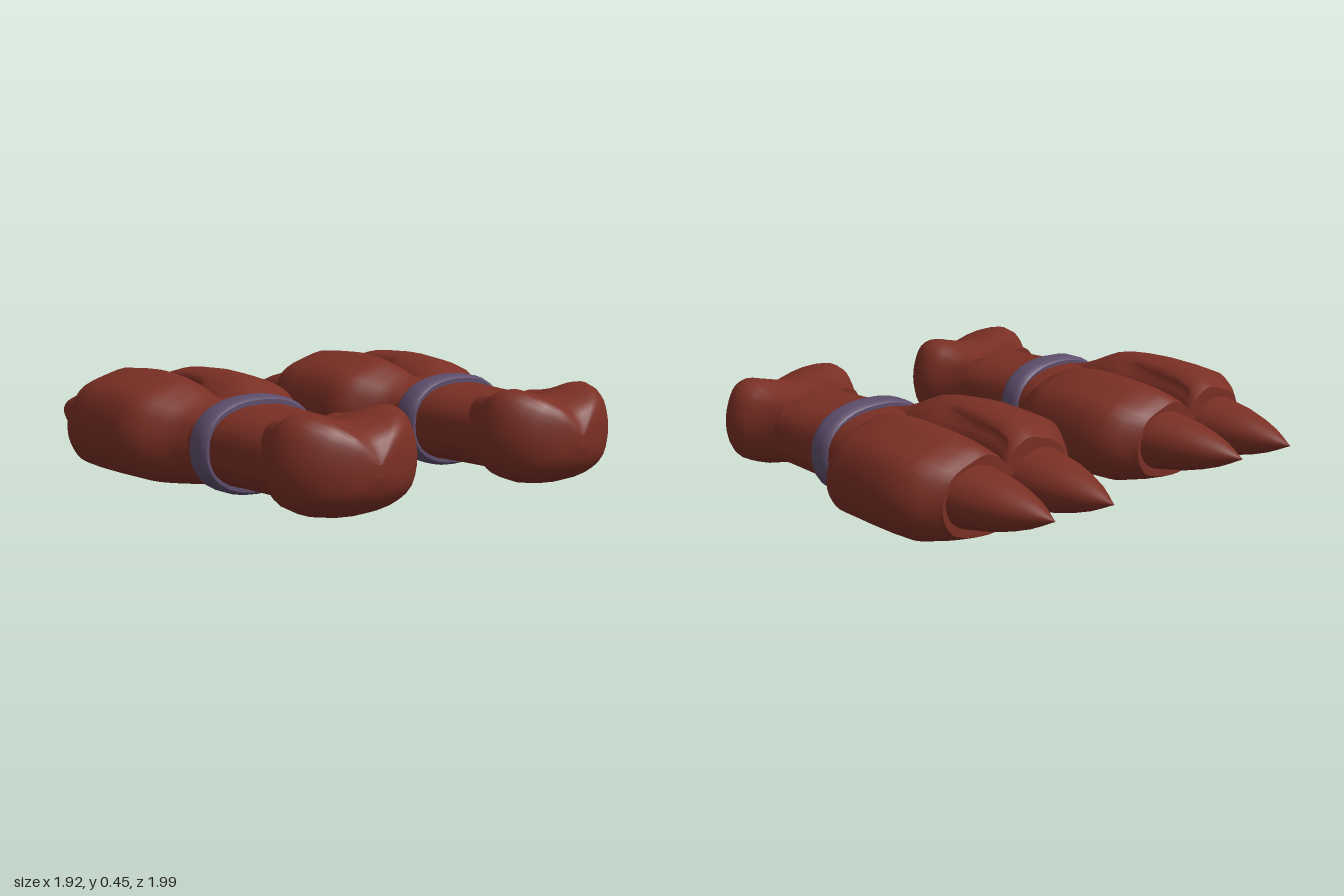
import * as THREE from 'three';

const RED = new THREE.MeshStandardMaterial({ color: 0x7a2f24 });
RED.name = 'brick red';
const PURPLE = new THREE.MeshStandardMaterial({ color: 0x5d4d6b });
PURPLE.name = 'dusky purple';

// Closed skin through rings of [x, y] points, each at its own z (z rising, points counter-clockwise from +z)
function loft(name, rings, material) {
  const n = rings[0].pts.length, pos = [], idx = [];
  rings.forEach(r => r.pts.forEach(p => pos.push(p[0], p[1], r.z)));
  for (let i = 0; i < rings.length - 1; i++) {
    for (let j = 0; j < n; j++) {
      const k = (j + 1) % n, a = i * n + j, b = i * n + k;
      idx.push(a, b, b + n, a, b + n, a + n);
    }
  }
  // flat end caps with their own vertices
  [rings[0], rings[rings.length - 1]].forEach((r, end) => {
    const c = pos.length / 3;
    const mid = [0, 1].map(q => r.pts.reduce((s, p) => s + p[q], 0) / n);
    pos.push(mid[0], mid[1], r.z);
    r.pts.forEach(p => pos.push(p[0], p[1], r.z));
    for (let j = 0; j < n; j++) {
      const a = c + 1 + j, b = c + 1 + (j + 1) % n;
      if (end) idx.push(c, a, b); else idx.push(c, b, a);
    }
  });
  const g = new THREE.BufferGeometry();
  g.setAttribute('position', new THREE.Float32BufferAttribute(pos, 3));
  g.setIndex(idx);
  g.computeVertexNormals();
  const mesh = new THREE.Mesh(g, material);
  mesh.name = name;
  return mesh;
}

// Rounded cross-section; power 2 is an ellipse, higher is boxier
function oval(z, cx, cy, rx, ry, power = 2) {
  const pts = [];
  for (let i = 0; i < 32; i++) {
    const t = i / 32 * Math.PI * 2, c = Math.cos(t), s = Math.sin(t);
    const f = v => Math.sign(v) * Math.abs(v) ** (2 / power);
    pts.push([cx + rx * f(c), cy + ry * f(s)]);
  }
  return { z, pts };
}

// Smooth closed outline through a few points
function outline(points) {
  const curve = new THREE.CatmullRomCurve3(points.map(p => new THREE.Vector3(p[0], p[1], 0)), true);
  return curve.getPoints(40).slice(0, 40).map(p => [p.x, p.y]);
}

// Bean-shaped knob outline, y from 0 to 1, half-width 1
const halfBean = [[0.6, 0.07], [0.9, 0.22], [1, 0.48], [0.97, 0.7], [0.84, 0.92], [0.62, 1], [0.36, 0.96]];
const bean = outline([[0, 0], ...halfBean, [0, 0.9], ...halfBean.map(p => [-p[0], p[1]]).reverse()]);

function knob() {
  // z, half-width, bottom, top
  const rows = [
    [0.56, 0.22, 0.05, 0.35], [0.61, 0.235, 0.04, 0.355], [0.66, 0.262, 0.035, 0.365],
    [0.7, 0.295, 0.025, 0.38], [0.74, 0.315, 0.015, 0.397], [0.79, 0.32, 0.01, 0.405],
    [0.84, 0.3, 0.018, 0.395], [0.89, 0.262, 0.035, 0.378], [0.93, 0.21, 0.06, 0.355],
    [0.96, 0.15, 0.09, 0.325], [0.98, 0.09, 0.125, 0.285], [0.99, 0.02, 0.18, 0.23],
  ];
  return loft('knob', rows.map(([z, w, lo, hi]) =>
    ({ z, pts: bean.map(p => [p[0] * w, lo + p[1] * (hi - lo)]) })), RED);
}

// Finger lobe outline on the -x side at its widest, y from 0 to 1
const lobeOutline = outline([
  [-0.44, 0.45], [-0.415, 0.25], [-0.36, 0.11], [-0.25, 0.03], [-0.12, 0], [-0.02, 0.04],
  [0.01, 0.2], [0.01, 0.45], [0.008, 0.75], [-0.06, 0.92], [-0.15, 1], [-0.25, 0.95], [-0.36, 0.85], [-0.42, 0.66],
]);

function lobe(name, side, lift) {
  // z, width factor, bottom, top, recess of the inner edge
  const rows = [
    [-0.6, 0.73, 0.06, 0.395, 0], [-0.575, 0.77, 0.05, 0.41, 0], [-0.54, 0.87, 0.04, 0.425, 0.02],
    [-0.47, 0.99, 0.025, 0.445, 0.035], [-0.36, 1, 0.02, 0.455, 0.04], [-0.24, 1, 0.02, 0.46, 0.035],
    [-0.18, 0.99, 0.02, 0.458, 0], [-0.1, 0.985, 0.022, 0.45, 0], [-0.04, 0.965, 0.022, 0.437, 0],
    [0.01, 0.87, 0.025, 0.415, 0], [0.06, 0.74, 0.028, 0.39, 0], [0.11, 0.63, 0.032, 0.37, 0],
    [0.18, 0.57, 0.04, 0.355, 0],
  ];
  const rings = rows.map(([z, w, lo, hi, recess]) => {
    const pts = lobeOutline.map(([x, y]) => {
      const inner = x > -0.05 && y > 0.4 ? recess : 0;
      return [-side * ((x < 0 ? x * w : x) - inner), lo + y * (hi - lo - lift)];
    });
    return { z, pts: side > 0 ? pts.reverse() : pts };
  });
  return loft(name, rings, RED);
}

function claw(name, tipX, tipZ, left, right) {
  const rings = [];
  // share of length from the tip, share of base size
  [[0, 0.01], [0.05, 0.09], [0.13, 0.23], [0.25, 0.42], [0.42, 0.62], [0.62, 0.8], [0.85, 0.92], [1, 1]]
    .forEach(([t, s]) => {
      const cx = THREE.MathUtils.lerp(tipX, (left + right) / 2, t);
      rings.push(oval(THREE.MathUtils.lerp(tipZ, -0.57, t), cx, 0.222, s * (right - left) / 2, s * 0.125));
    });
  return loft(name, rings, RED);
}

function makeClawedLimb(name) {
  const limb = new THREE.Group();
  limb.name = name;
  limb.add(knob());
  // shaft running into the palm
  limb.add(loft('shaft', [
    oval(-0.08, 0, 0.2, 0.24, 0.15, 2.4), oval(0.05, 0, 0.2, 0.265, 0.165, 2.4),
    oval(0.17, 0, 0.2, 0.258, 0.165, 2.4), oval(0.3, 0, 0.2, 0.243, 0.162, 2.4),
    oval(0.45, 0, 0.197, 0.238, 0.156, 2.4), oval(0.62, 0, 0.195, 0.23, 0.153, 2.4),
  ], RED));
  // wrist band
  limb.add(loft('wristBand', [[0.172, 0.93], [0.18, 0.97], [0.2, 1], [0.25, 1], [0.27, 0.97], [0.28, 0.93]]
    .map(([z, s]) => oval(z, 0, 0.2, 0.277 * s, 0.195 * s, 2.3)), PURPLE));
  // two finger lobes, each ending in a claw
  limb.add(lobe('rightFinger', -1, 0), lobe('leftFinger', 1, 0.02));
  limb.add(claw('rightClaw', -0.152, -1, -0.32, -0.008));
  limb.add(claw('leftClaw', 0.128, -0.98, 0.01, 0.315));
  return limb;
}

export function createModel() {
  const model = new THREE.Group();
  model.name = 'clawedLimbs';
  [['rightLimb', -0.52], ['leftLimb', 0.52]].forEach(([name, x]) => {
    const limb = makeClawedLimb(name);
    limb.position.x = x;
    model.add(limb);
  });
  return model;
}
